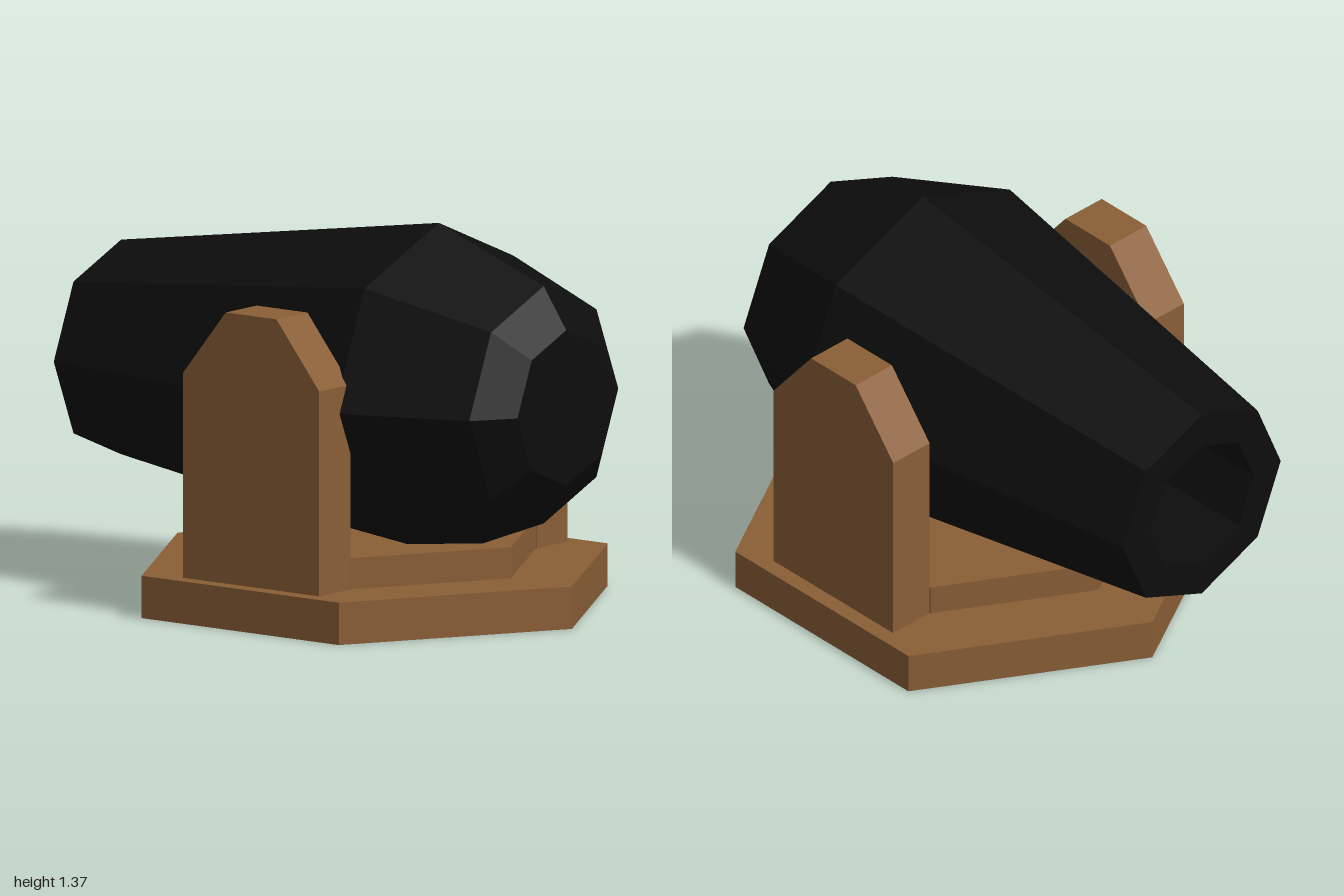
import * as THREE from 'three';

export function createModel() {
  const group = new THREE.Group();
  const wood = new THREE.MeshStandardMaterial({ color: 0x8a5e36, flatShading: true, side: THREE.DoubleSide });
  const iron = new THREE.MeshStandardMaterial({ color: 0x0d0d0d, flatShading: true });
  const baseZ = 0.125;

  function add(name, geometry, material, x = 0, y = 0, z = 0) {
    const mesh = new THREE.Mesh(geometry, material);
    mesh.name = name;
    mesh.position.set(x, y, z);
    group.add(mesh);
    return mesh;
  }

  // Hexagonal base, hollow underneath: walls and a top plate
  add('baseWalls', new THREE.CylinderGeometry(0.875, 0.875, 0.15, 6, 1, true), wood, 0, 0.075, baseZ);
  const plate = new THREE.CircleGeometry(0.875, 6, Math.PI / 2);
  plate.rotateX(-Math.PI / 2);
  add('baseTop', plate, wood, 0, 0.15, baseZ);

  // Raised inner step
  add('step', new THREE.CylinderGeometry(0.605, 0.605, 0.11, 6), wood, 0, 0.205, baseZ);

  // Upright cheeks with chamfered tops, profile drawn in z and y
  const profile = new THREE.Shape([
    [-0.175, 0.15], [0.43, 0.15], [0.43, 0.875], [0.24, 1.11], [0.015, 1.11], [-0.175, 0.875],
  ].map(([z, y]) => new THREE.Vector2(z, y)));
  const cheek = new THREE.ExtrudeGeometry(profile, { depth: 0.175, bevelEnabled: false });
  cheek.rotateY(-Math.PI / 2);
  add('leftCheek', cheek, wood, 0.7);
  add('rightCheek', cheek, wood, -0.525);

  // Eight-sided barrel along z: bore, muzzle at the back, rounded breech at the front
  const barrel = new THREE.LatheGeometry([
    [0, -0.6], [0.25, -0.6], [0.25, -1], [0.38, -1],
    [0.593, 0.41], [0.42, 0.875], [0.275, 0.975], [0, 0.975],
  ].map(([r, z]) => new THREE.Vector2(r, z)), 8);
  barrel.rotateX(Math.PI / 2);
  add('barrel', barrel, iron, 0, 0.78, 0);

  return group;
}
